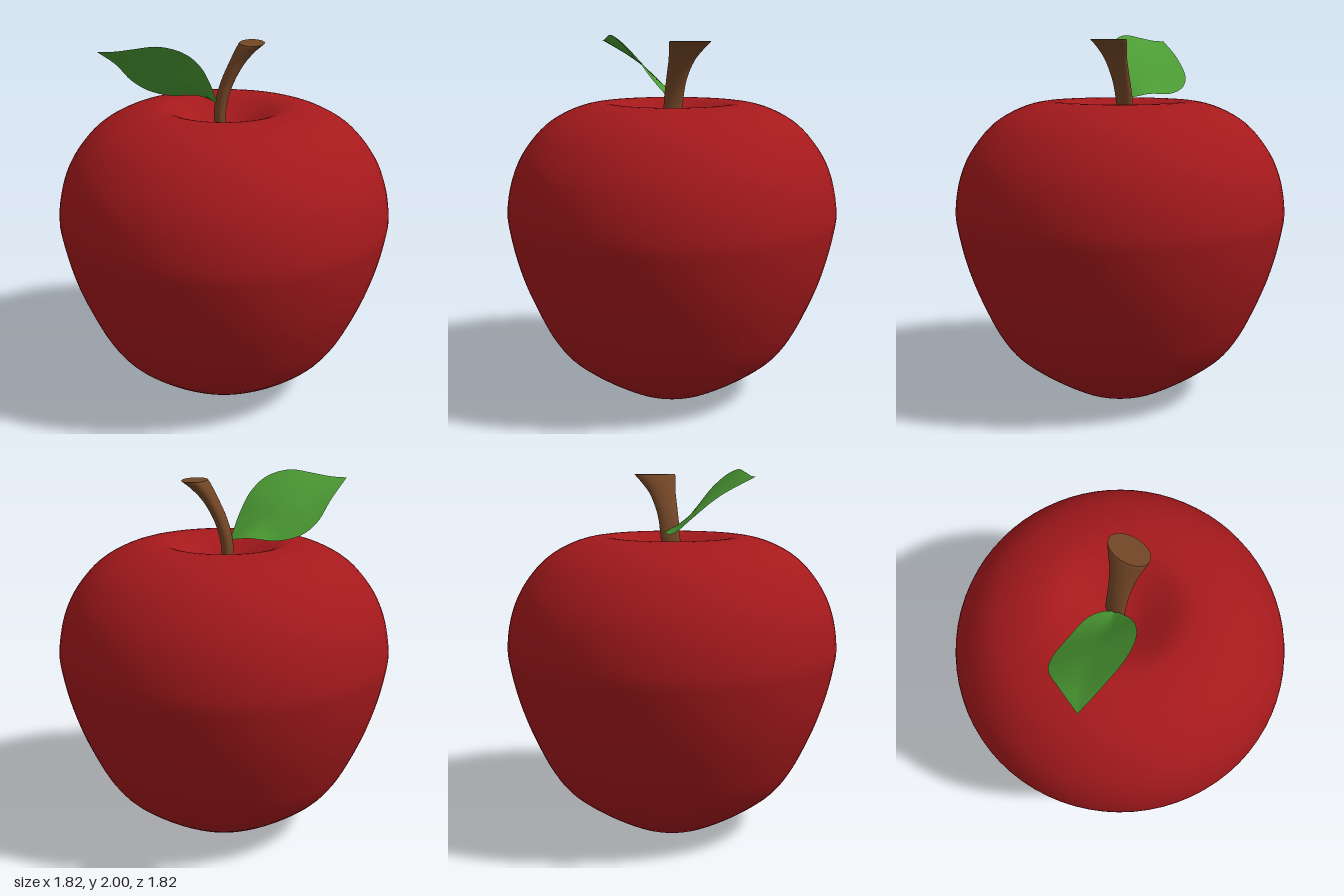
import * as THREE from 'three';
import { mergeVertices } from 'three/addons/utils/BufferGeometryUtils.js';

const V = (p) => new THREE.Vector3(...p);

// Smooth surface through equal-length rows of points
function loft(rows) {
  const n = rows[0].length, index = [];
  for (let i = 0; i < rows.length - 1; i++) {
    for (let j = 0; j < n - 1; j++) {
      const a = i * n + j, b = a + n;
      index.push(a, b, a + 1, a + 1, b, b + 1);
    }
  }
  let geo = new THREE.BufferGeometry().setFromPoints(rows.flat());
  geo.setIndex(index);
  geo = mergeVertices(geo, 1e-5);
  geo.computeVertexNormals();
  return geo;
}

function mesh(name, geo, color, side = THREE.FrontSide) {
  const m = new THREE.Mesh(geo, new THREE.MeshStandardMaterial({ color, side }));
  m.name = name;
  return m;
}

// Turned body with a hollow at the bottom and around the stem
function makeBody() {
  const profile = [
    [0, 0.08], [0.09, 0.06], [0.16, 0.02], [0.22, 0.001], [0.29, 0.03], [0.41, 0.1],
    [0.52, 0.175], [0.615, 0.255], [0.69, 0.36], [0.755, 0.49], [0.82, 0.645], [0.868, 0.8],
    [0.9, 0.95], [0.91, 1.05], [0.89, 1.19], [0.845, 1.32], [0.775, 1.43], [0.69, 1.52],
    [0.59, 1.583], [0.48, 1.625], [0.37, 1.64], [0.29, 1.622], [0.2, 1.572], [0.1, 1.515], [0, 1.49],
  ].map(([r, y]) => new THREE.Vector2(r, y));
  const points = new THREE.SplineCurve(profile).getPoints(72);
  points.forEach((p) => { p.x = Math.max(p.x, 0); p.y = Math.max(p.y, 0); });
  return mesh('body', new THREE.LatheGeometry(points, 72), 0xa5191c);
}

// Leaning stem of oval sections that flares towards its cut end
function makeStem() {
  const group = new THREE.Group();
  group.name = 'stem';
  const centre = new THREE.CatmullRomCurve3([
    [-0.025, 1.46, -0.01], [-0.018, 1.64, -0.015], [0.015, 1.76, -0.02],
    [0.07, 1.87, -0.032], [0.12, 1.94, -0.046], [0.148, 1.97, -0.052],
  ].map(V));
  const radii = new THREE.SplineCurve([
    [0.03, 0.05], [0.033, 0.055], [0.036, 0.058], [0.043, 0.074], [0.058, 0.102], [0.068, 0.115],
  ].map(([x, z]) => new THREE.Vector2(x, z)));
  const rows = [];
  for (let i = 0; i <= 24; i++) {
    const c = centre.getPoint(i / 24), r = radii.getPoint(i / 24), row = [];
    for (let j = 0; j <= 32; j++) {
      const a = (j % 32) / 32 * Math.PI * 2;
      row.push(new THREE.Vector3(c.x + r.x * Math.cos(a), c.y, c.z + r.y * Math.sin(a)));
    }
    rows.push(row);
  }
  const cap = new THREE.CircleGeometry(1, 32);
  cap.rotateX(-Math.PI / 2).scale(0.068, 1, 0.115).translate(0.148, 1.97, -0.052);
  group.add(mesh('stemShaft', loft(rows), 0x734626), mesh('stemCutEnd', cap, 0x734626));
  return group;
}

// Thin leaf spread between an upper edge, a midrib and a lower edge
function makeLeaf() {
  const upper = new THREE.CatmullRomCurve3([
    [-0.035, 1.65, 0], [-0.065, 1.77, 0.1], [-0.12, 1.89, 0.175], [-0.2, 1.965, 0.23],
    [-0.32, 2.0, 0.255], [-0.45, 1.985, 0.245], [-0.55, 1.97, 0.233], [-0.635, 1.967, 0.222],
  ].map(V));
  const rib = new THREE.CatmullRomCurve3([
    [-0.035, 1.65, 0], [-0.17, 1.75, 0.035], [-0.31, 1.83, 0.07], [-0.48, 1.9, 0.14], [-0.635, 1.967, 0.222],
  ].map(V));
  const lower = new THREE.CatmullRomCurve3([
    [-0.035, 1.65, 0], [-0.07, 1.66, -0.045], [-0.15, 1.675, -0.088], [-0.3, 1.67, -0.105],
    [-0.42, 1.7, -0.1], [-0.5, 1.76, -0.06], [-0.565, 1.87, 0.06], [-0.635, 1.967, 0.222],
  ].map(V));
  const rows = [];
  for (let i = 0; i <= 32; i++) {
    const u = upper.getPointAt(i / 32), r = rib.getPointAt(i / 32), l = lower.getPointAt(i / 32);
    const row = [];
    for (let j = 0; j <= 4; j++) row.push(u.clone().lerp(r, j / 4));
    for (let j = 1; j <= 4; j++) row.push(r.clone().lerp(l, j / 4));
    rows.push(row);
  }
  return mesh('leaf', loft(rows), 0x4c9c34, THREE.DoubleSide);
}

export function createModel() {
  const model = new THREE.Group();
  model.name = 'apple';
  model.add(makeBody(), makeStem(), makeLeaf());
  return model;
}
